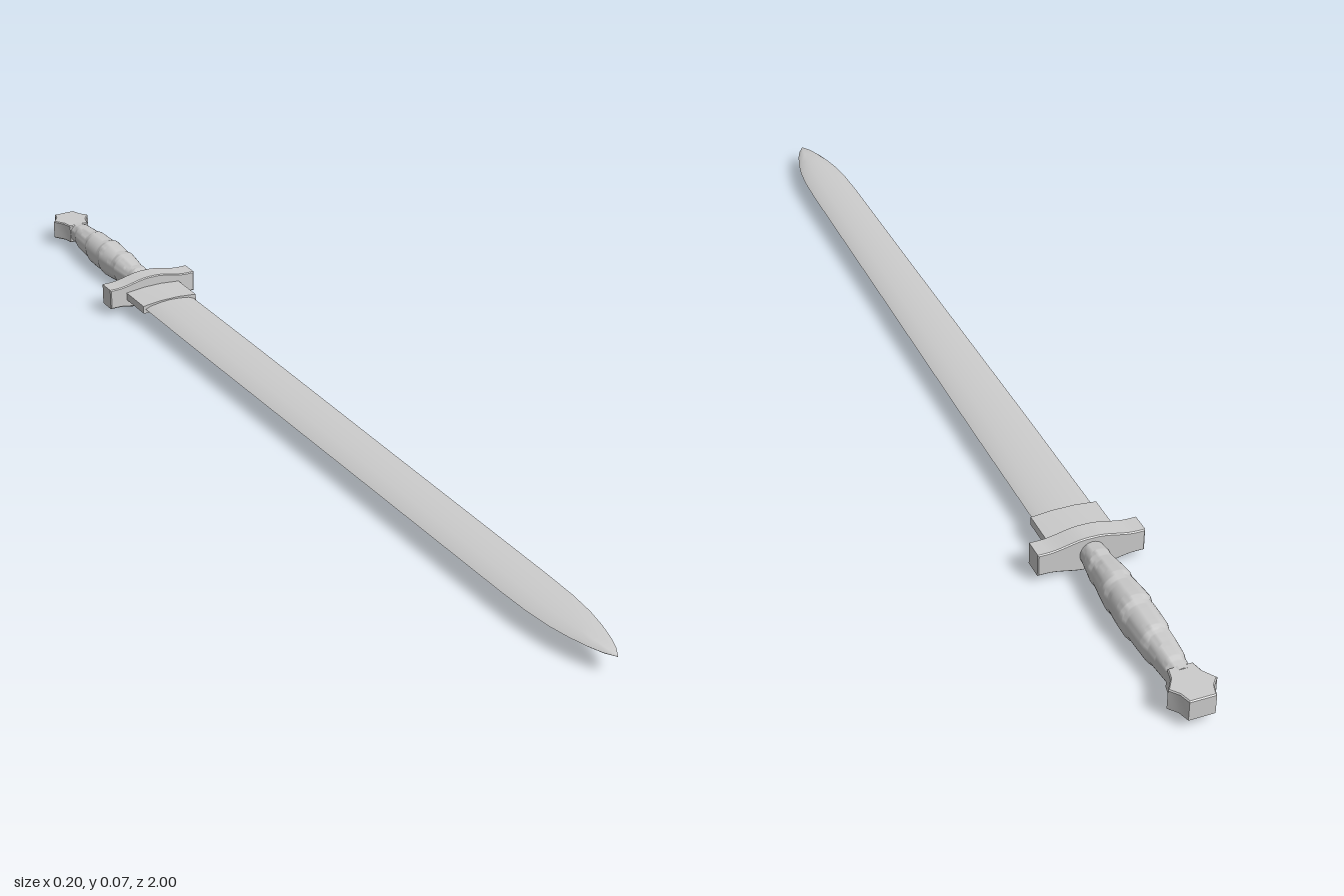
import * as THREE from 'three';
import { toCreasedNormals } from 'three/addons/utils/BufferGeometryUtils.js';

const MID = 0.037; // height of the sword's long axis
const material = new THREE.MeshStandardMaterial({ color: 0xcccccc });

// Skin a row of closed cross-sections (counter-clockwise, ordered towards +z) and cap both ends
function loft(rings, crease) {
  const n = rings[0].length;
  const pos = rings.flat(2);
  const index = [];
  for (let i = 0; i < rings.length - 1; i++) {
    for (let j = 0; j < n; j++) {
      const a = i * n + j, b = i * n + (j + 1) % n;
      index.push(a, b, b + n, a, b + n, a + n);
    }
  }
  const last = (rings.length - 1) * n;
  for (let j = 1; j < n - 1; j++) {
    index.push(0, j + 1, j, last, last + j, last + j + 1);
  }
  const geometry = new THREE.BufferGeometry();
  geometry.setAttribute('position', new THREE.Float32BufferAttribute(pos, 3));
  geometry.setIndex(index);
  return toCreasedNormals(geometry, crease);
}

// Flat prism from an outline in x-y, centred on its own depth
function prism(points, depth, bevel = 0) {
  const shape = new THREE.Shape(points.map(([x, y]) => new THREE.Vector2(x, y)));
  const geometry = new THREE.ExtrudeGeometry(shape, {
    depth: depth - 2 * bevel, bevelEnabled: bevel > 0, bevelSize: bevel,
    bevelThickness: bevel, bevelOffset: -bevel, bevelSegments: 1,
  });
  geometry.translate(0, 0, -depth / 2 + bevel);
  return toCreasedNormals(geometry, 0.6);
}

export function createModel() {
  const sword = new THREE.Group();
  sword.name = 'sword';
  const add = (name, geometry, y, z) => {
    const mesh = new THREE.Mesh(geometry, material);
    mesh.name = name;
    mesh.position.set(0, y, z);
    sword.add(mesh);
    return mesh;
  };

  // Blade: ridged section with bevelled edges; stations are z, half width, half thickness
  const stations = [
    [-0.56, 0.056, 0.0095], [-0.2, 0.055, 0.0095], [0.3, 0.051, 0.0095],
    [0.76, 0.048, 0.0095], [0.83, 0.046, 0.0093], [0.88, 0.041, 0.009],
    [0.92, 0.033, 0.0085], [0.955, 0.023, 0.007], [0.98, 0.013, 0.0045], [1, 0.0006, 0.0004],
  ];
  const section = [[1, 0], [0.8, 0.5], [0.4, 0.85], [0, 1], [-0.4, 0.85], [-0.8, 0.5],
    [-1, 0], [-0.8, -0.5], [-0.4, -0.85], [0, -1], [0.4, -0.85], [0.8, -0.5]];
  add('blade', loft(stations.map(([z, w, t]) => section.map(([x, y]) => [x * w, y * t, z])), 0.5), MID, 0);

  // Collar that holds the root of the blade
  const collar = [[0.061, -0.008], [0.061, 0.008], [0.02, 0.012], [-0.02, 0.012],
    [-0.061, 0.008], [-0.061, -0.008], [-0.02, -0.012], [0.02, -0.012]];
  add('collar', prism(collar, 0.09), MID, -0.523);

  // Crossguard: flat ends swelling to a thicker middle
  const upper = [];
  for (let i = 0; i <= 24; i++) {
    const x = 0.098 - i * 0.196 / 24;
    const rise = THREE.MathUtils.smoothstep(0.082 - Math.abs(x), 0, 0.075);
    upper.push([x, 0.0215 + 0.0115 * rise]);
  }
  const guard = [...upper, ...upper.map(([x, y]) => [-x, -y])];
  add('crossguard', prism(guard, 0.04, 0.002), MID, -0.576);

  // Grip: swelling handle wound with an overlapping spiral wrap
  const halfWidth = new THREE.SplineCurve([[0, 0.022], [0.25, 0.030], [0.5, 0.034],
    [0.75, 0.029], [1, 0.021]].map(([t, r]) => new THREE.Vector2(t, r)));
  const rings = [], steps = 100, sides = 32, turns = 5;
  for (let i = 0; i <= steps; i++) {
    const t = 1 - i / steps;
    const r = halfWidth.getPoint(t).y;
    const ring = [];
    for (let j = 0; j < sides; j++) {
      const a = j / sides * Math.PI * 2;
      const phase = t * turns + a / (Math.PI * 2);
      const f = phase - Math.floor(phase);
      const lap = f < 0.85 ? f / 0.85 : (1 - f) / 0.15;
      const k = r * (0.96 + 0.09 * lap);
      ring.push([Math.cos(a) * k, Math.sin(a) * k * 1.04, -0.585 - 0.345 * t]);
    }
    rings.push(ring);
  }
  add('grip', loft(rings, 0.8), MID, 0);

  // Pommel: six-sided knob lying flat, with slightly hollow flanks
  const pommel = [[0.022, -0.04], [0.027, -0.018], [0.042, 0.004], [0.029, 0.02], [0.023, 0.04],
    [-0.023, 0.04], [-0.029, 0.02], [-0.042, 0.004], [-0.027, -0.018], [-0.022, -0.04]];
  const knob = add('pommel', prism(pommel, 0.04, 0.002), MID, -0.96);
  knob.rotation.x = -Math.PI / 2; // outline top points to the back end

  return sword;
}
